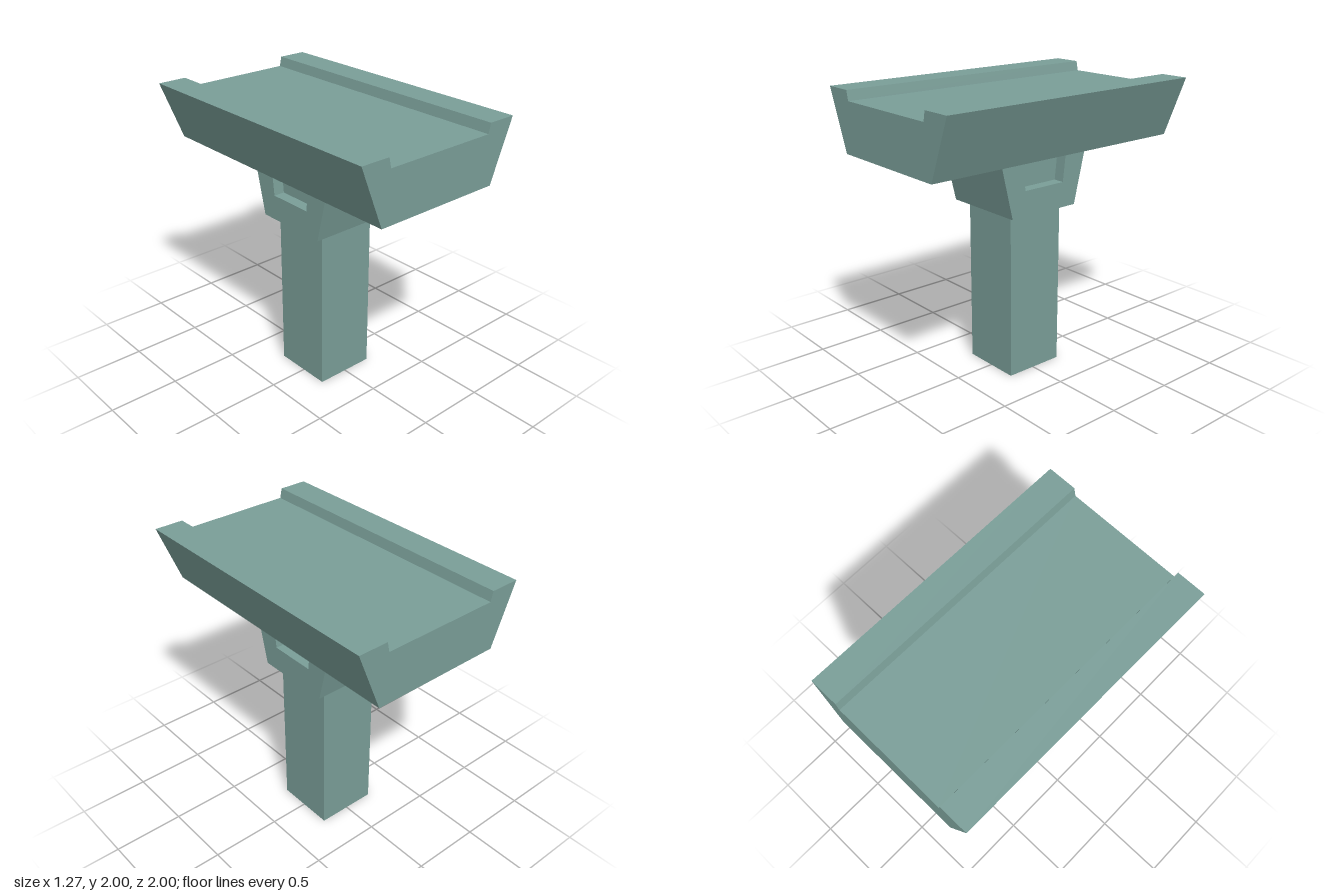
import * as THREE from 'three';

const material = new THREE.MeshStandardMaterial({ color: 0x7a9e98, flatShading: true });

// Extrude an outline along z, centred on z = 0
function prism(points, depth) {
  const shape = new THREE.Shape(points.map(([x, y]) => new THREE.Vector2(x, y)));
  const geometry = new THREE.ExtrudeGeometry(shape, { depth, bevelEnabled: false });
  return geometry.translate(0, 0, -depth / 2);
}

function part(name, geometry, x = 0, y = 0, z = 0) {
  const mesh = new THREE.Mesh(geometry, material);
  mesh.name = name;
  mesh.position.set(x, y, z);
  return mesh;
}

export function createModel() {
  const model = new THREE.Group();
  model.name = 'bridgePier';
  const supportZ = -0.013;

  // Square column
  model.add(part('column', new THREE.BoxGeometry(0.435, 1.175, 0.435), 0, 0.5875, supportZ));

  // Tapered bracket: solid core with a notched cheek on each side
  const bracket = new THREE.Group();
  bracket.name = 'bracket';
  bracket.position.z = supportZ;
  const bottom = 1.175, top = 1.585, notchFloor = 1.35;
  const halfWidth = 0.303, notchDepth = 0.08;
  const coreWidth = 2 * (halfWidth - notchDepth);
  const core = [[-0.273, bottom], [0.273, bottom], [0.372, top], [-0.372, top]];
  const cheek = [
    ...core.slice(0, 3),
    [0.192, top], [0.165, notchFloor], [-0.165, notchFloor], [-0.192, top],
    core[3],
  ];
  bracket.add(part('bracketCore', prism(core, coreWidth).rotateY(Math.PI / 2)));
  for (const side of [1, -1]) {
    const geometry = prism(cheek, notchDepth).rotateY(Math.PI / 2);
    const name = side > 0 ? 'leftCheek' : 'rightCheek';
    bracket.add(part(name, geometry, side * (halfWidth - notchDepth / 2)));
  }
  model.add(bracket);

  // Long deck with sloping flanks and a raised kerb along each edge
  const half = [[0.465, 1.585], [0.628, 2], [0.423, 2], [0.408, 1.932]];
  const mirrored = half.map(([x, y]) => [-x, y]).reverse();
  model.add(part('deck', prism([...half, ...mirrored], 1.99)));

  // Very slight turn about the vertical
  model.rotation.y = -0.005;
  return model;
}
